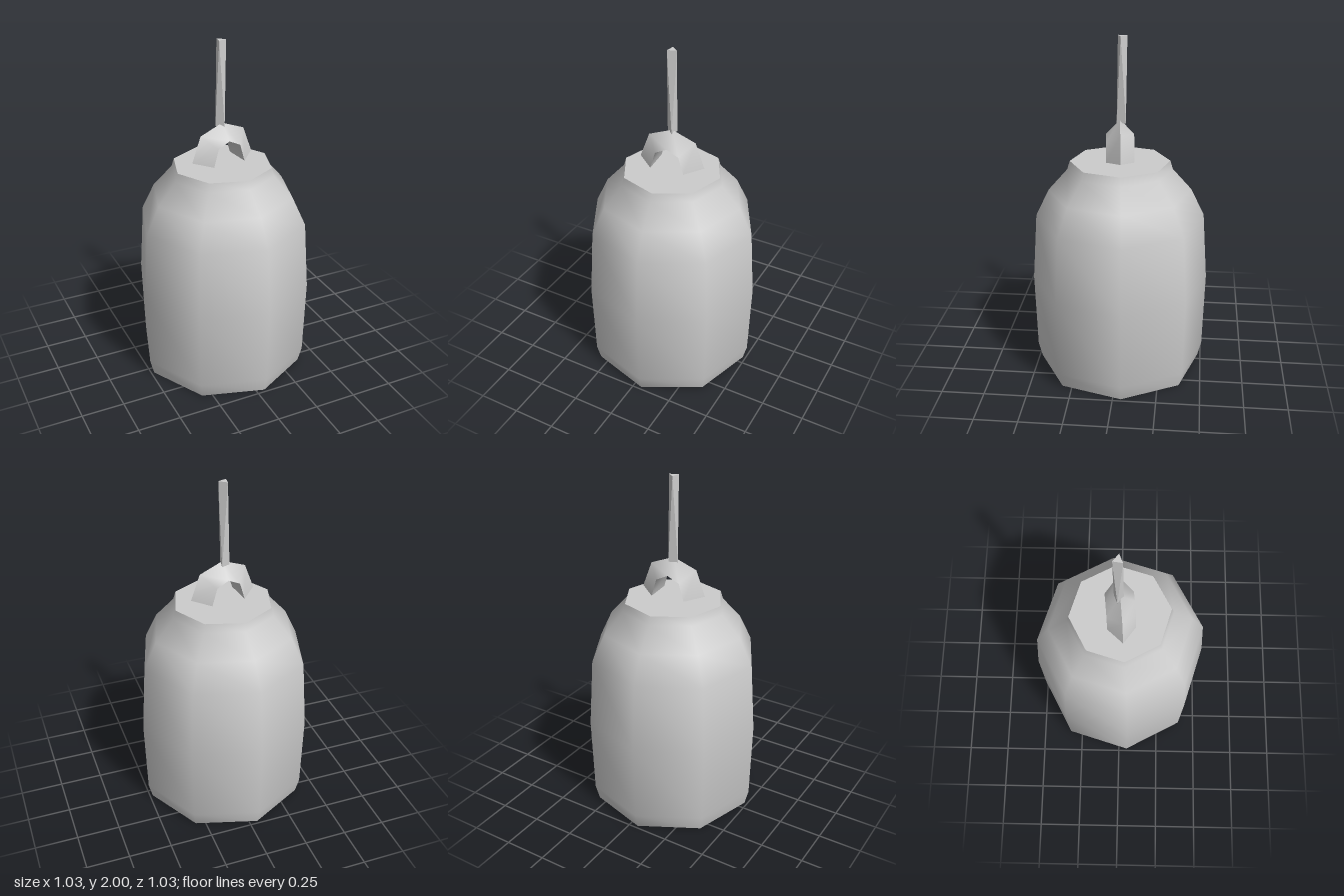
import * as THREE from 'three';
import { toCreasedNormals } from 'three/addons/utils/BufferGeometryUtils.js';
import { ConvexGeometry } from 'three/addons/geometries/ConvexGeometry.js';

const TWIST = 0.1; // slight turn about the vertical axis

export function createModel() {
  const model = new THREE.Group();
  const grey = new THREE.MeshStandardMaterial({ color: 0xcccccc });
  grey.name = 'plain grey';

  function add(name, geometry) {
    const mesh = new THREE.Mesh(geometry, grey);
    mesh.name = name;
    model.add(mesh);
    return mesh;
  }

  // Eight-sided body with rounded shoulder and flat ends
  const profile = [
    [0, 0], [0.485, 0], [0.508, 0.09], [0.52, 0.55], [0.492, 0.95],
    [0.415, 1.11], [0.304, 1.235], [0.289, 1.285], [0, 1.285],
  ].map(([r, y]) => new THREE.Vector2(r, y));
  add('body', toCreasedNormals(new THREE.LatheGeometry(profile, 8, TWIST), 1.1));

  // Arched handle of triangular section: ridge outside, flat face inside
  const outer = [[-0.195, 1.325], [-0.14, 1.475], [0, 1.53], [0.14, 1.475], [0.195, 1.325]];
  const inner = [[-0.1, 1.307], [-0.07, 1.41], [0, 1.445], [0.07, 1.41], [0.1, 1.307]];
  const positions = [];
  const index = [];
  outer.forEach(([x, y], i) => {
    const [u, v] = inner[i];
    positions.push(x, y, 0, u, v, 0.08, u, v, -0.08);
  });
  for (let i = 0; i < 4; i++) {
    for (let k = 0; k < 3; k++) {
      const a = i * 3 + k, b = i * 3 + (k + 1) % 3;
      index.push(a, b, b + 3, a, b + 3, a + 3);
    }
  }
  index.push(0, 2, 1, 12, 13, 14); // end caps
  const arch = new THREE.BufferGeometry();
  arch.setAttribute('position', new THREE.Float32BufferAttribute(positions, 3));
  arch.setIndex(index);
  add('handleArch', toCreasedNormals(arch, 1.2)).rotation.y = TWIST;

  // Thin twisted rod: triangle below, opposite triangle on top
  const ring = (y, turn) => [0, 1, 2].map((i) => {
    const t = turn + (i * Math.PI * 2) / 3;
    return new THREE.Vector3(-0.005 + 0.031 * Math.cos(t), y, -0.01 + 0.031 * Math.sin(t));
  });
  add('rod', new ConvexGeometry([...ring(1.51, Math.PI + 0.15), ...ring(2, 0.15)]));

  return model;
}
